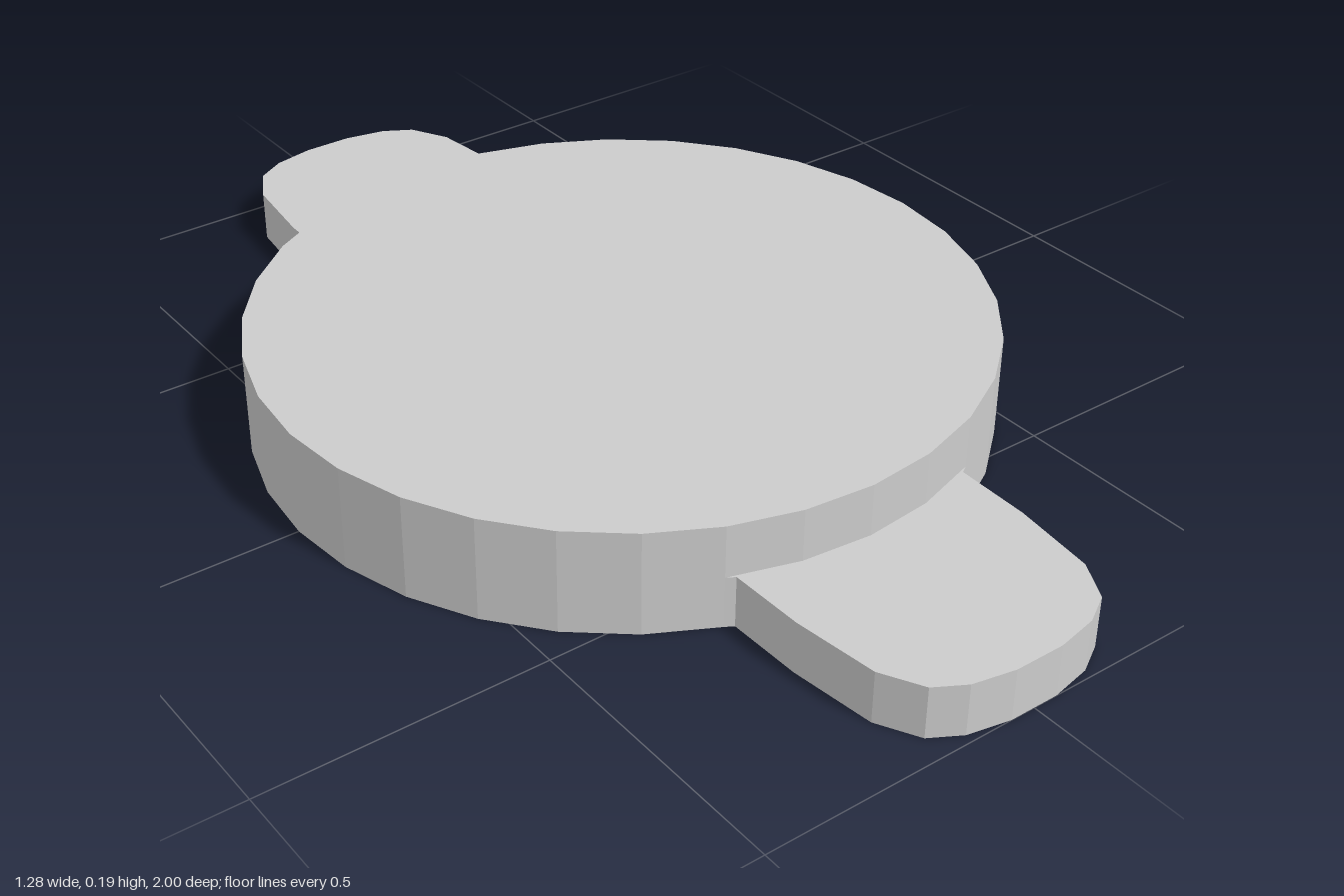
import * as THREE from 'three';

const material = new THREE.MeshStandardMaterial({ color: 0xcccccc, flatShading: true });

const RADIUS = 0.64;
const DISC_HEIGHT = 0.187;
const TAB_HEIGHT = 0.093;

// Rounded tab whose inner edge follows the faceted rim of the disc
function createTabGeometry() {
  const rim = [1, 2].map((i) => {
    const a = (i * Math.PI) / 16;
    return [RADIUS * Math.sin(a), RADIUS * Math.cos(a)];
  });
  const half = [
    ...rim, [0.23, 0.6], [0.228, 0.735], [0.21, 0.885],
    [0.172, 0.955], [0.12, 0.985], [0.045, 1],
  ];
  const mirrored = half.map(([x, y]) => [-x, y]).reverse();
  const outline = [[0, RADIUS], ...half, ...mirrored].map(([x, y]) => new THREE.Vector2(x, y));
  const geometry = new THREE.ExtrudeGeometry(new THREE.Shape(outline), {
    depth: TAB_HEIGHT, bevelEnabled: false,
  });
  return geometry.rotateX(-Math.PI / 2);
}

export function createModel() {
  const group = new THREE.Group();

  // Main round plate
  const disc = new THREE.Mesh(
    new THREE.CylinderGeometry(RADIUS, RADIUS, DISC_HEIGHT, 32), material);
  disc.name = 'disc';
  disc.position.y = DISC_HEIGHT / 2;
  group.add(disc);

  // Two opposite tabs at half height
  const tabGeometry = createTabGeometry();
  for (const [name, angle] of [['backTab', 0], ['frontTab', Math.PI]]) {
    const tab = new THREE.Mesh(tabGeometry, material);
    tab.name = name;
    tab.rotation.y = angle;
    group.add(tab);
  }

  return group;
}
